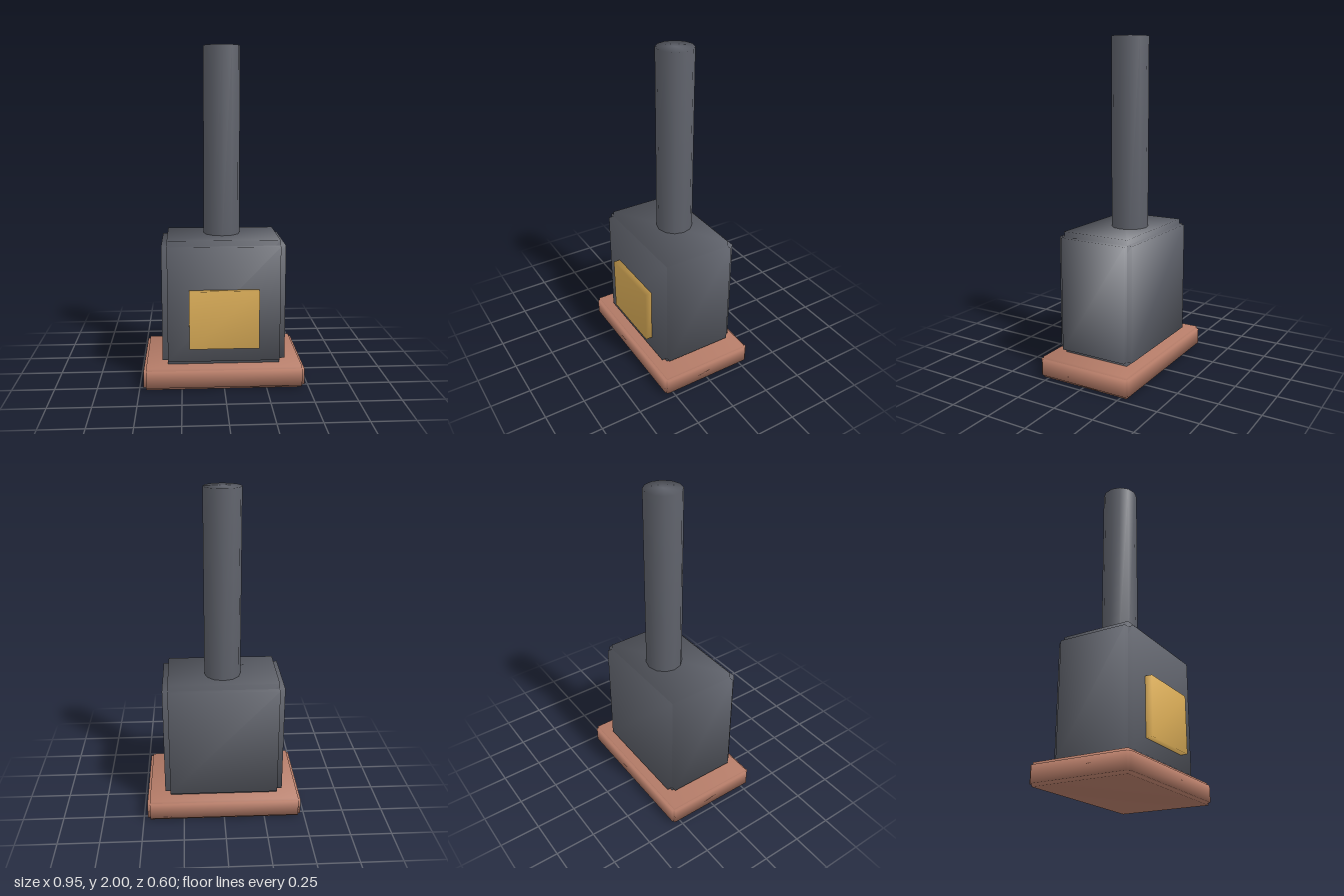
import * as THREE from 'three';
import { mergeVertices } from 'three/addons/utils/BufferGeometryUtils.js';

function material(name, color) {
  const m = new THREE.MeshStandardMaterial({ color });
  m.name = name;
  return m;
}

// Weld shared corners so the shading runs smoothly around the whole solid
function weld(geometry) {
  geometry.deleteAttribute('normal');
  geometry.deleteAttribute('uv');
  const welded = mergeVertices(geometry);
  welded.computeVertexNormals();
  return welded;
}

function addMesh(parent, name, geometry, mat, x, y, z) {
  const mesh = new THREE.Mesh(weld(geometry), mat);
  mesh.name = name;
  mesh.position.set(x, y, z);
  parent.add(mesh);
}

// Block with stepped edges: three boxes, each full size along one axis only
function steppedBlock(name, w, h, d, step, mat, y) {
  const group = new THREE.Group();
  group.name = name;
  const s = 2 * step;
  addMesh(group, name + 'Sides', new THREE.BoxGeometry(w, h - s, d - s), mat, 0, y, 0);
  addMesh(group, name + 'TopAndBottom', new THREE.BoxGeometry(w - s, h, d - s), mat, 0, y, 0);
  addMesh(group, name + 'FrontAndBack', new THREE.BoxGeometry(w - s, h - s, d), mat, 0, y, 0);
  return group;
}

export function createModel() {
  const iron = material('dark iron', 0x5f626b);
  const brick = material('brick', 0xb57c68);
  const glow = material('amber glow', 0xdcae58);

  const stove = new THREE.Group();
  stove.name = 'stove';

  // Hearth slab and firebox
  stove.add(steppedBlock('hearth', 0.95, 0.128, 0.604, 0.015, brick, 0.064));
  stove.add(steppedBlock('firebox', 0.73, 0.755, 0.492, 0.033, iron, 0.4985));

  // Door panel on the front
  addMesh(stove, 'door', new THREE.BoxGeometry(0.41, 0.345, 0.06), glow, 0, 0.417, 0.257);

  // Flue pipe, set slightly towards the back
  addMesh(stove, 'flue', new THREE.CylinderGeometry(0.11, 0.11, 1.14, 12), iron, 0, 1.43, -0.04);

  return stove;
}
